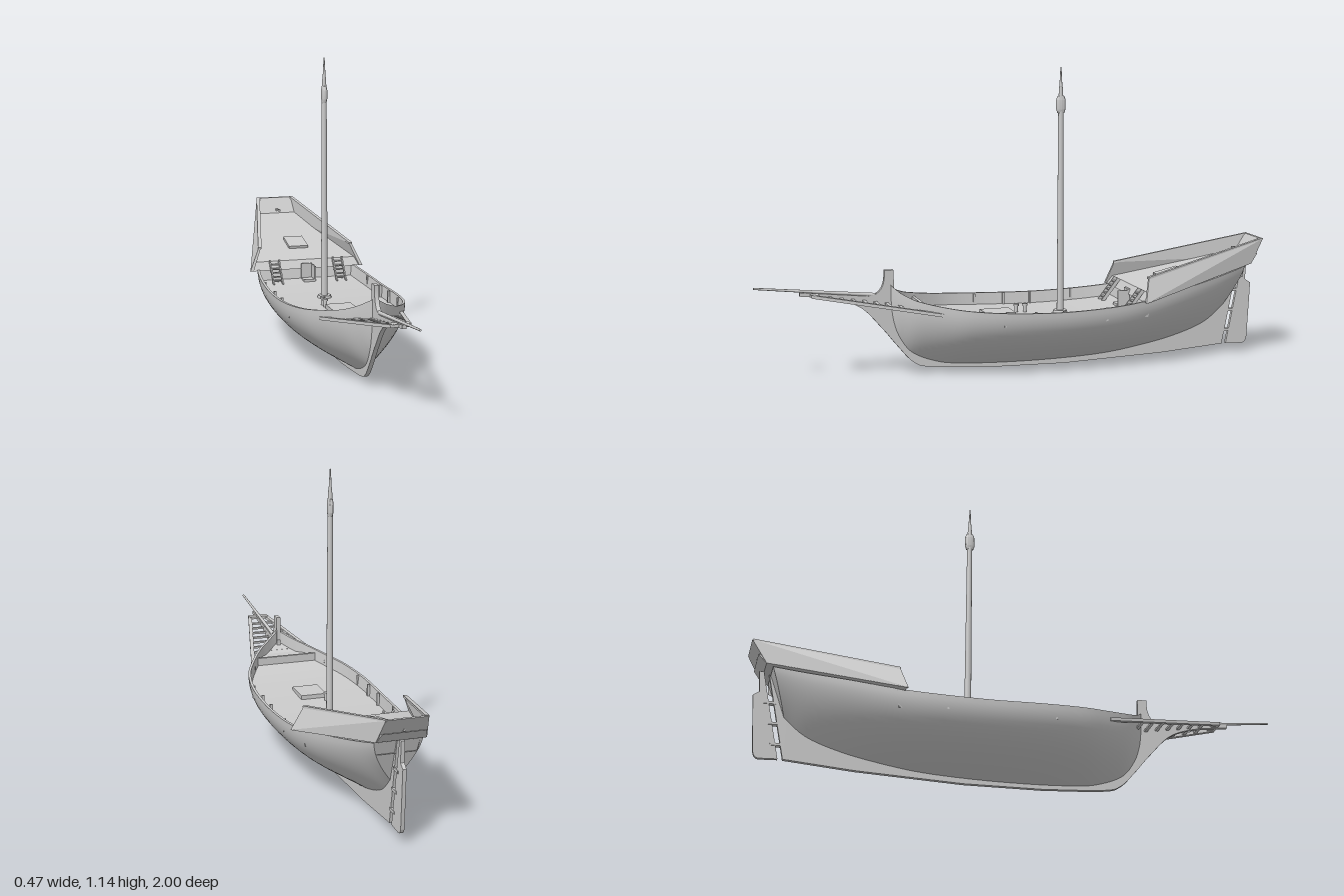
import * as THREE from 'three';
import { toCreasedNormals } from 'three/addons/utils/BufferGeometryUtils.js';
import { ConvexGeometry } from 'three/addons/geometries/ConvexGeometry.js';

const V = (x, y, z) => new THREE.Vector3(x, y, z);

export function createModel() {
  const ship = new THREE.Group();
  ship.name = 'sailingShip';
  const mat = new THREE.MeshStandardMaterial({ color: 0xcccccc });

  const add = (name, geo, parent = ship) => {
    const m = new THREE.Mesh(geo, mat);
    m.name = name;
    parent.add(m);
    return m;
  };
  const group = (name) => {
    const g = new THREE.Group();
    g.name = name;
    ship.add(g);
    return g;
  };
  const box = (name, w, h, d, x, y, z, parent) => {
    const m = add(name, new THREE.BoxGeometry(w, h, d), parent);
    m.position.set(x, y, z);
    return m;
  };
  // squared timber between two points
  const beam = (name, a, b, w, h, parent) => {
    const m = add(name, new THREE.BoxGeometry(w, h, a.distanceTo(b)), parent);
    m.position.copy(a).lerp(b, 0.5);
    m.lookAt(b);
    return m;
  };
  // round spar between two points
  const spar = (name, a, b, ra, rb, parent) => {
    const geo = new THREE.CylinderGeometry(rb, ra, a.distanceTo(b), 12);
    const m = add(name, geo, parent);
    m.position.copy(a).lerp(b, 0.5);
    m.quaternion.setFromUnitVectors(V(0, 1, 0), b.clone().sub(a).normalize());
    return m;
  };
  const solid = (name, pts, parent) => add(name, new ConvexGeometry(pts), parent);
  // flat plate on the centre plane, outline given as [z, y]
  const plate = (name, shape, t) => {
    const geo = new THREE.ExtrudeGeometry(shape, { depth: t, bevelEnabled: false, curveSegments: 8 });
    geo.rotateY(-Math.PI / 2).translate(t / 2, 0, 0);
    return add(name, toCreasedNormals(geo, 0.5));
  };

  // Hull stations: z, keel y, sheer y, half width, fullness, stern rake
  const stations = [
    [0.488, 0.24, 0.345, 0.004, 2.2, 0], [0.475, 0.18, 0.332, 0.027, 2.2, 0],
    [0.45, 0.125, 0.313, 0.06, 2.2, 0], [0.4, 0.07, 0.292, 0.11, 2.2, 0],
    [0.3, 0.033, 0.272, 0.168, 2.2, 0], [0.2, 0.022, 0.26, 0.207, 2.2, 0],
    [0.05, 0.016, 0.25, 0.23, 2.2, 0], [-0.15, 0.016, 0.245, 0.232, 2.2, 0],
    [-0.35, 0.025, 0.253, 0.22, 2.2, 0], [-0.5, 0.045, 0.27, 0.197, 2.1, 0],
    [-0.65, 0.075, 0.3, 0.163, 1.9, 0.005], [-0.78, 0.12, 0.33, 0.122, 1.7, 0.025],
    [-0.86, 0.185, 0.357, 0.088, 1.6, 0.06],
  ];
  const curve = (k) => new THREE.CatmullRomCurve3(
    stations.map((s) => V(s[k], s[k + 1], s[k + 2])), false, 'catmullrom', 0.5);
  const lines = curve(0), form = curve(3);
  const N = 60, M = 16, rings = [];
  for (let i = 0; i <= N; i++) {
    const a = lines.getPoint(i / N), b = form.getPoint(i / N);
    const [z, yk, ys] = [a.x, a.y, a.z], [w, p, rake] = [b.x, b.y, b.z];
    const side = (t) => w * (1 - Math.pow(1 - t, p));
    const half = [];
    for (let j = 0; j <= M; j++) {
      const t = Math.pow(j / M, 1.3);
      half.push(V(side(t), yk + (ys - yk) * t, z - rake * t));
    }
    // rail, inner bulwark and deck
    const td = 1 - 0.045 / (ys - yk), deckX = Math.max(0, side(td) - 0.01);
    half.push(V(Math.max(0, w - 0.01), ys, z - rake));
    half.push(V(deckX, ys - 0.045, z - rake), V(0, ys - 0.045, z - rake));
    const mirror = half.slice(0, -1).reverse().map((q) => V(-q.x, q.y, q.z));
    rings.push([...half, ...mirror]);
  }
  // transom closes onto the centre line
  rings.push(rings[N].map((q) => V(0, q.y, q.z)));
  const pos = [], idx = [], R = rings[0].length;
  rings.forEach((r, i) => r.forEach((q, j) => {
    pos.push(q.x, q.y, q.z);
    if (i < rings.length - 1 && j < R - 1) {
      const a = i * R + j, b = a + R;
      idx.push(a, b, a + 1, b, b + 1, a + 1);
    }
  }));
  const hull = new THREE.BufferGeometry();
  hull.setAttribute('position', new THREE.Float32BufferAttribute(pos, 3));
  hull.setIndex(idx);
  add('hull', toCreasedNormals(hull, 0.7));

  // Keel with stem, beak and sternpost
  const keel = new THREE.Shape();
  keel.moveTo(0.475, 0.4);
  keel.lineTo(0.47, 0.2);
  keel.lineTo(0.35, 0.1);
  keel.lineTo(-0.5, 0.1);
  keel.lineTo(-0.85, 0.25);
  keel.lineTo(-0.925, 0.36);
  keel.lineTo(-0.86, 0.035);
  keel.lineTo(-0.6, 0.015);
  keel.lineTo(-0.2, 0);
  keel.lineTo(0.1, 0.004);
  keel.splineThru([[0.33, 0.02], [0.4, 0.043], [0.46, 0.107], [0.52, 0.18], [0.6, 0.262], [0.7, 0.3], [0.83, 0.318]]
    .map((q) => new THREE.Vector2(...q)));
  keel.lineTo(0.83, 0.332);
  keel.lineTo(0.57, 0.305);
  keel.quadraticCurveTo(0.505, 0.31, 0.51, 0.4);
  plate('keelAndStem', keel, 0.016);

  // Rudder with hinges and tiller
  const rudder = new THREE.Shape();
  rudder.moveTo(-0.878, 0.035);
  rudder.lineTo(-0.945, 0.37);
  rudder.lineTo(-0.962, 0.37);
  rudder.lineTo(-0.957, 0.29);
  rudder.lineTo(-0.98, 0.275);
  rudder.lineTo(-0.968, 0.06);
  rudder.quadraticCurveTo(-0.965, 0.033, -0.945, 0.032);
  plate('rudder', rudder, 0.014);
  [0.09, 0.17, 0.25].forEach((y) => box('rudderHinge', 0.02, 0.01, 0.045, 0, y, -0.868 - y * 0.2));
  beam('tiller', V(0, 0.412, -0.975), V(0, 0.42, -0.9), 0.008, 0.008);

  // Aftercastle: base, raked walls, capping rails
  const castle = group('aftercastle');
  const both = (pts) => pts.flatMap((q) => [q, V(-q.x, q.y, q.z)]);
  solid('poopDeck', both([V(0.235, 0.26, -0.455), V(0.21, 0.293, -0.475),
    V(0.09, 0.367, -0.945), V(0.08, 0.405, -0.975)]), castle);
  for (const s of [1, -1]) {
    solid('castleWall', [
      V(s * 0.236, 0.26, -0.45), V(s * 0.196, 0.35, -0.475), V(s * 0.186, 0.35, -0.475), V(s * 0.222, 0.262, -0.45),
      V(s * 0.092, 0.367, -0.945), V(s * 0.077, 0.462, -1), V(s * 0.067, 0.462, -1), V(s * 0.08, 0.367, -0.945),
    ], castle);
    beam('castleRail', V(s * 0.191, 0.35, -0.472), V(s * 0.072, 0.46, -0.995), 0.014, 0.008, castle);
  }
  solid('sternWall', both([V(0.09, 0.367, -0.945), V(0.077, 0.462, -1),
    V(0.09, 0.367, -0.935), V(0.077, 0.462, -0.988)]), castle);
  solid('bulkhead', both([V(0.19, 0.2, -0.455), V(0.205, 0.293, -0.475),
    V(0.19, 0.2, -0.475), V(0.205, 0.293, -0.49)]), castle);
  const poopHatch = box('poopHatch', 0.08, 0.014, 0.1, 0, 0.332, -0.633, castle);
  poopHatch.rotation.x = Math.atan(0.112 / 0.5);

  // Companionway door standing open, with frame
  box('companionDoor', 0.045, 0.07, 0.008, 0, 0.245, -0.459);
  box('openDoorLeaf', 0.006, 0.065, 0.045, 0.024, 0.243, -0.435);
  box('doorStep', 0.045, 0.012, 0.04, 0, 0.217, -0.43);

  // Ladders up to the poop
  for (const s of [1, -1]) {
    const ladder = group('ladder');
    const foot = V(s * 0.132, 0.21, -0.4), head = V(s * 0.132, 0.297, -0.468);
    for (const e of [-0.019, 0.019]) {
      const off = V(e, 0, 0);
      beam('stringer', foot.clone().add(off), head.clone().add(off), 0.005, 0.014, ladder);
    }
    for (let k = 1; k <= 5; k++) {
      const q = foot.clone().lerp(head, k / 6);
      box('tread', 0.036, 0.004, 0.014, q.x, q.y, q.z, ladder);
    }
  }

  // Main deck fittings
  box('mainHatch', 0.1, 0.016, 0.115, 0, 0.212, 0.067);
  for (const z of [-0.02, -0.055]) {
    spar('bollard', V(-0.042, 0.2, z), V(-0.042, 0.226, z), 0.007, 0.007);
    spar('bollardCap', V(-0.042, 0.226, z), V(-0.042, 0.234, z), 0.011, 0.011);
  }
  for (const s of [1, -1]) {
    for (const z of [-0.3, -0.13, -0.02, 0.1]) box('bulwarkPost', 0.01, 0.05, 0.008, s * 0.213, 0.224, z);
  }

  // Small foredeck with its beam
  solid('foredeck', both([V(0.12, 0.262, 0.37), V(0.08, 0.262, 0.42), V(0.01, 0.262, 0.468),
    V(0.115, 0.248, 0.37), V(0.075, 0.248, 0.42), V(0.01, 0.248, 0.465)]));
  box('foredeckBeam', 0.24, 0.03, 0.012, 0, 0.256, 0.368);

  // Mast with top and pole
  const mast = group('mast');
  spar('mastCollar', V(0, 0.195, -0.185), V(0, 0.21, -0.185), 0.03, 0.026, mast);
  spar('lowerMast', V(0, 0.19, -0.185), V(0, 0.98, -0.185), 0.0135, 0.01, mast);
  const block = [[0, 0.968], [0.014, 0.97], [0.019, 0.985], [0.019, 1.02], [0.014, 1.035], [0, 1.037]];
  const top = add('mastTop', toCreasedNormals(
    new THREE.LatheGeometry(block.map((q) => new THREE.Vector2(...q)), 12), 0.6), mast);
  top.scale.x = 0.6;
  top.position.z = -0.185;
  spar('topPole', V(0, 1.03, -0.185), V(0, 1.07, -0.185), 0.009, 0.007, mast);
  spar('poleTip', V(0, 1.07, -0.185), V(0, 1.145, -0.185), 0.006, 0.002, mast);

  // Bowsprit and grated beakhead
  spar('bowsprit', V(0, 0.3, 0.47), V(0, 0.355, 1), 0.008, 0.004);
  const head = group('beakhead');
  const railAt = (s, z) => {
    const t = (z - 0.32) / 0.47;
    return V(s * (0.152 - 0.121 * t), 0.245 + 0.075 * t, z);
  };
  for (const s of [1, -1]) beam('headRail', railAt(s, 0.32), railAt(s, 0.79), 0.015, 0.012, head);
  for (let k = 0; k < 7; k++) {
    const z = 0.46 + k * 0.043;
    beam('gratingSlat', railAt(-1, z), railAt(1, z), 0.012, 0.007, head);
  }
  box('headPlate', 0.075, 0.01, 0.03, 0, 0.32, 0.777, head);

  return ship;
}
